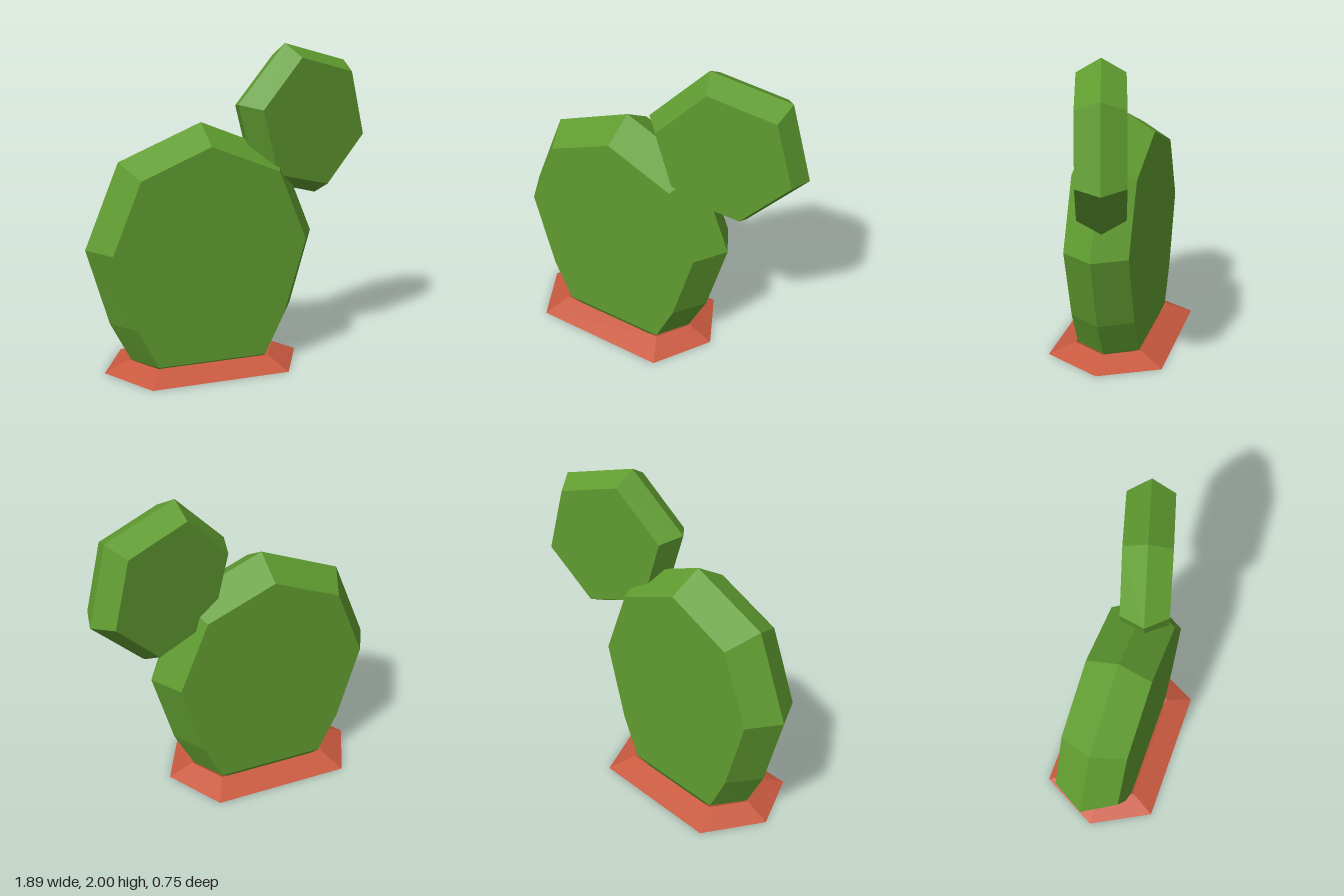
import * as THREE from 'three';

const green = new THREE.MeshStandardMaterial({ name: 'cactusGreen', color: 0x609c30 });
const clay = new THREE.MeshStandardMaterial({ name: 'clayRed', color: 0xc8593f });

// Joins loops of [x, y, z] corners with flat faces, optionally closing the ends
function loft(loops, capFirst, capLast) {
  const pos = [];
  const tri = (...corners) => corners.forEach((c) => pos.push(...c));
  for (let k = 0; k < loops.length - 1; k++) {
    const a = loops[k], b = loops[k + 1];
    a.forEach((_, i) => {
      const j = (i + 1) % a.length;
      tri(a[i], a[j], b[j]);
      tri(a[i], b[j], b[i]);
    });
  }
  const first = loops[0], last = loops[loops.length - 1];
  for (let i = 1; i < first.length - 1; i++) {
    if (capFirst) tri(first[0], first[i + 1], first[i]);
    if (capLast) tri(last[0], last[i], last[i + 1]);
  }
  const geo = new THREE.BufferGeometry();
  geo.setAttribute('position', new THREE.Float32BufferAttribute(pos, 3));
  geo.computeVertexNormals();
  return geo;
}

// Flat pad: wide outline at mid depth, smaller outline on both faces
function padGeometry(rim, face, depth) {
  const at = (outline, z) => outline.map(([x, y]) => [x, y, z]);
  return loft([at(face, -depth), at(rim, 0), at(face, depth)], true, true);
}

// Mirrors the right half of an outline (bottom to top centre), counter-clockwise
function mirrored(half) {
  const left = half.slice(0, -1).reverse().map(([x, y]) => [-x, y]);
  return [...half, ...left];
}

// Stretched horizontal hexagon, counter-clockwise from above
function hexagon(tip, corner, z, y) {
  return [[tip, y, 0], [corner, y, -z], [-corner, y, -z], [-tip, y, 0], [-corner, y, z], [corner, y, z]];
}

function part(name, geometry, material) {
  const mesh = new THREE.Mesh(geometry, material);
  mesh.name = name;
  return mesh;
}

export function createModel() {
  const model = new THREE.Group();
  model.name = 'cactus';

  // Large pad standing in the base
  const trunk = new THREE.Group();
  trunk.name = 'mainPad';
  trunk.position.x = -0.21;
  const rim = mirrored([[0.47, 0.07], [0.6, 0.32], [0.74, 0.8], [0.525, 1.325], [0, 1.54]]);
  const face = mirrored([[0.35, 0.07], [0.475, 0.32], [0.62, 0.8], [0.44, 1.24], [0, 1.42]]);
  trunk.add(part('mainPadBody', padGeometry(rim, face, 0.205), green));

  // Tapered root filling the opening of the base
  trunk.add(part('root', loft([hexagon(0.35, 0.23, 0.165, 0), hexagon(0.47, 0.35, 0.205, 0.07)], true, false), green));

  // Sloped clay ring around the root
  trunk.add(part('base', loft([
    hexagon(0.35, 0.23, 0.165, 0),
    hexagon(0.64, 0.44, 0.375, 0),
    hexagon(0.48, 0.36, 0.22, 0.07),
    hexagon(0.35, 0.23, 0.165, 0),
  ], false, false), clay));
  model.add(trunk);

  // Smaller pad on the upper left, turned slightly
  const upper = part('upperPad', padGeometry(
    [[0.146, 1.16], [0.624, 1.025], [0.983, 1.38], [0.853, 1.87], [0.364, 2.0], [0.005, 1.645]],
    [[0.205, 1.21], [0.609, 1.105], [0.905, 1.4], [0.796, 1.81], [0.385, 1.92], [0.088, 1.62]],
    0.145,
  ), green);
  upper.position.z = 0.08;
  upper.rotation.y = 0.28;
  model.add(upper);

  return model;
}
